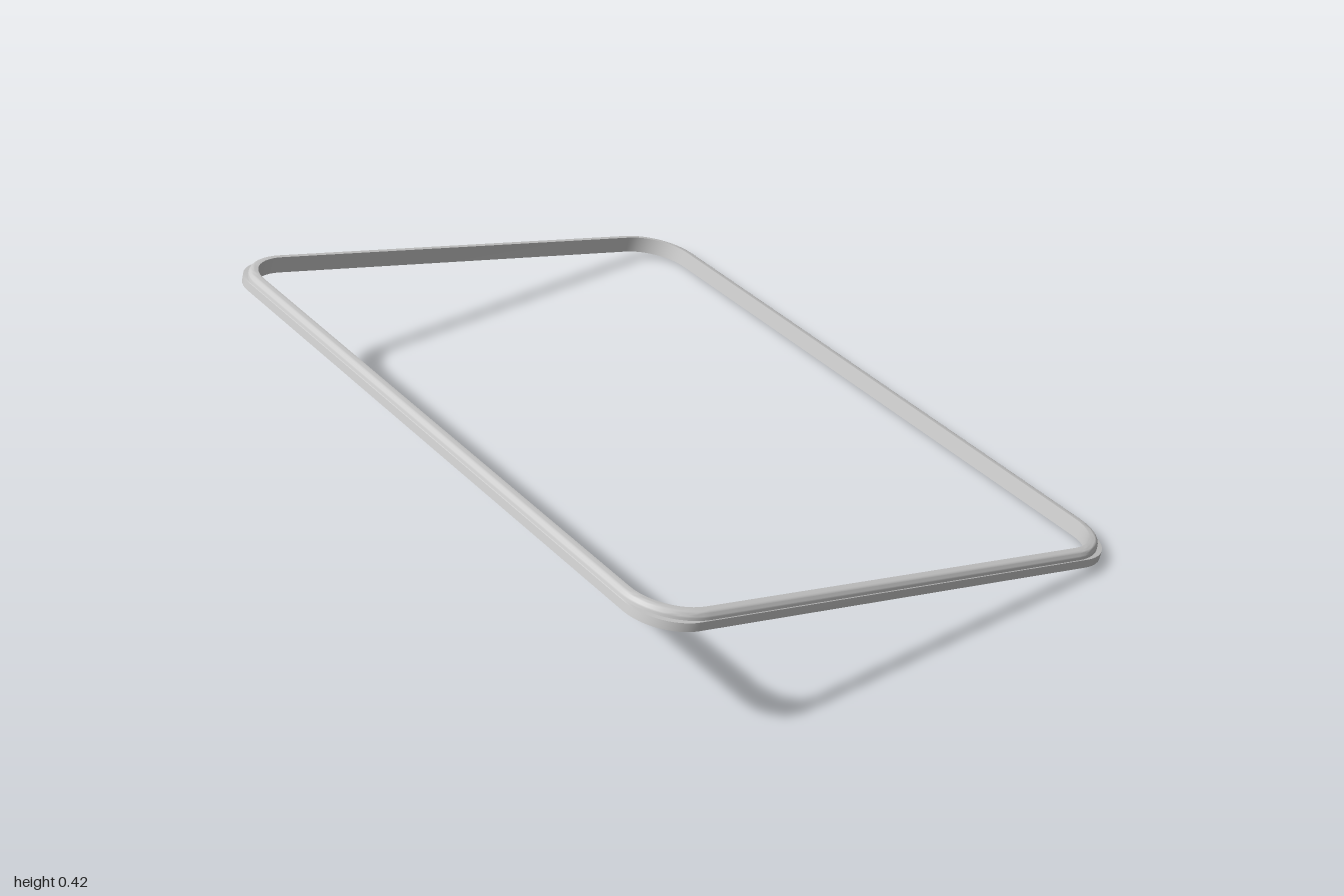
import * as THREE from 'three';
import { toCreasedNormals } from 'three/addons/utils/BufferGeometryUtils.js';

const HALF_X = 1, HALF_Z = 0.742, HALF_H = 0.0225, TILT = THREE.MathUtils.degToRad(15);
const CORNER_STEPS = 12;

// Outline of a rounded rectangle at height y, inset from the outer size
function outline(inset, y, radius) {
  const points = [];
  for (let c = 0; c < 4; c++) {
    const sx = c === 0 || c === 3 ? 1 : -1;
    const sz = c < 2 ? 1 : -1;
    for (let i = 0; i <= CORNER_STEPS; i++) {
      const a = (c + i / CORNER_STEPS) * Math.PI / 2;
      points.push([
        sx * (HALF_X - inset - radius) + radius * Math.cos(a), y,
        sz * (HALF_Z - inset - radius) + radius * Math.sin(a),
      ]);
    }
  }
  return points;
}

// Skin a closed loop of closed outlines
function skin(rings) {
  const n = rings[0].length, m = rings.length, index = [];
  for (let j = 0; j < m; j++) {
    for (let i = 0; i < n; i++) {
      const a = j * n + i, b = ((j + 1) % m) * n + i;
      const c = j * n + (i + 1) % n, d = ((j + 1) % m) * n + (i + 1) % n;
      index.push(a, b, c, b, d, c);
    }
  }
  const geometry = new THREE.BufferGeometry();
  geometry.setAttribute('position', new THREE.Float32BufferAttribute(rings.flat(2), 3));
  geometry.setIndex(index);
  return toCreasedNormals(geometry, 0.6);
}

export function createModel() {
  const group = new THREE.Group();
  group.name = 'tiltedFrame';

  // Cross-section: flat base, upright lower lip, rounded top shoulder, flat inner wall
  const rings = [outline(0, -HALF_H, 0.125), outline(0, 0, 0.125)];
  const steps = 6, round = 0.015;
  rings.push(outline(0.0015, 0.0015, 0.152));
  for (let i = 0; i <= steps; i++) {
    const a = (i / steps) * Math.PI / 2;
    rings.push(outline(
      0.002 + round * (1 - Math.cos(a)),
      HALF_H - round * (1 - Math.sin(a)),
      0.151 - round * (1 - Math.cos(a)),
    ));
  }
  rings.push(outline(0.027, HALF_H, 0.125), outline(0.027, -HALF_H, 0.125));

  const frame = new THREE.Mesh(skin(rings), new THREE.MeshStandardMaterial({ color: 0xcccccc }));
  frame.name = 'roundedFrame';
  // Front edge raised, back edge resting on the ground
  frame.rotation.x = -TILT;
  frame.position.y = HALF_Z * Math.sin(TILT) + HALF_H * Math.cos(TILT);
  group.add(frame);
  return group;
}
